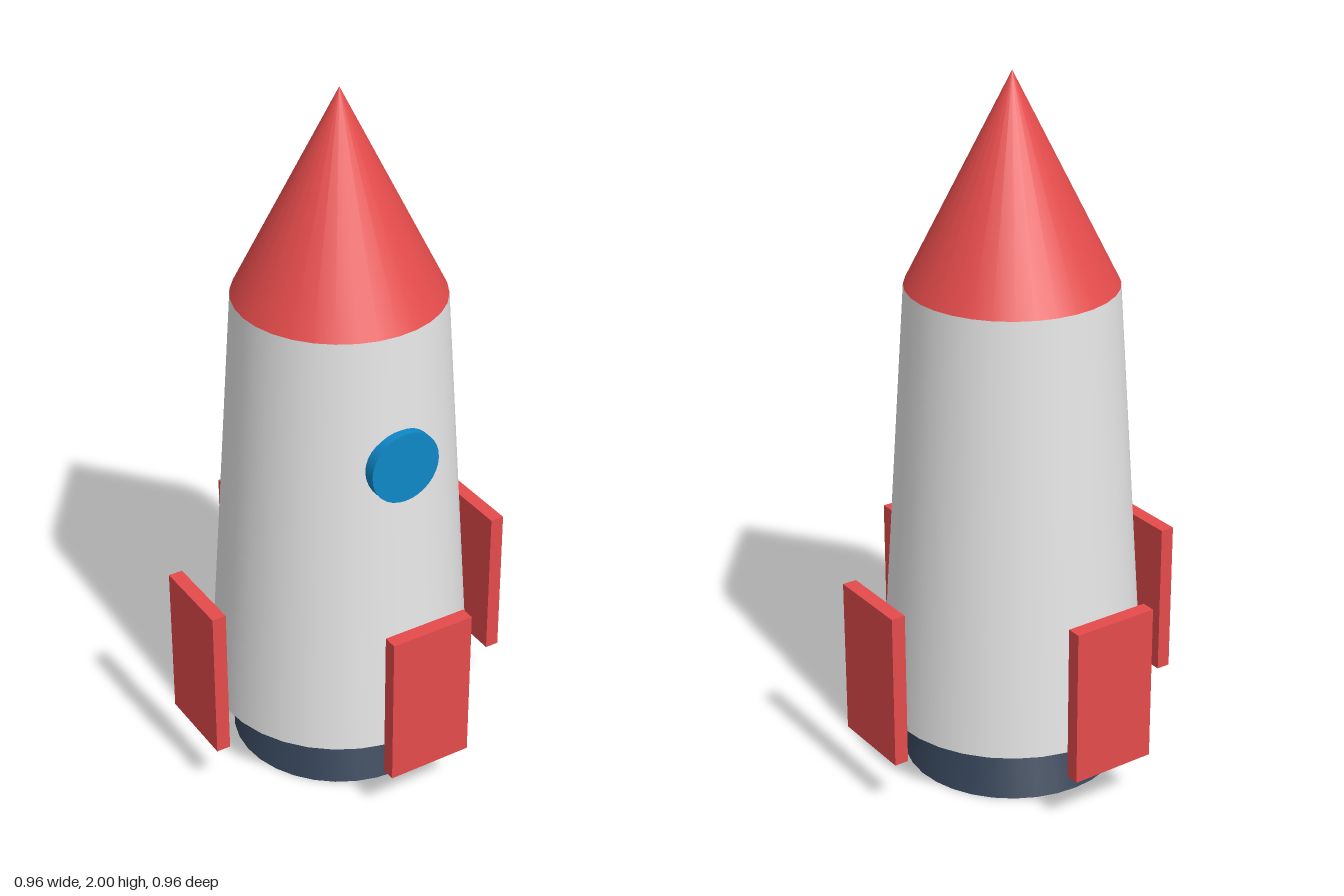
import * as THREE from 'three';

const material = (name, color) => {
  const m = new THREE.MeshStandardMaterial({ color });
  m.name = name;
  return m;
};

export function createModel() {
  const red = material('red', 0xe54b4b);
  const hullGrey = material('hull grey', 0xe6e6e6);
  const blue = material('window blue', 0x0f88c8);
  const slate = material('engine slate', 0x334155);

  const rocket = new THREE.Group();
  rocket.name = 'rocket';

  const add = (name, geometry, mat, x, y, z) => {
    const mesh = new THREE.Mesh(geometry, mat);
    mesh.name = name;
    mesh.position.set(x, y, z);
    rocket.add(mesh);
    return mesh;
  };

  // Stacked round sections, from a bottom height to a top height
  const section = (name, mat, rTop, rBottom, y0, y1) =>
    add(name, new THREE.CylinderGeometry(rTop, rBottom, y1 - y0, 32), mat, 0, (y0 + y1) / 2, 0);

  section('nozzle', slate, 0.25, 0.3125, 0, 0.17);
  section('hull', hullGrey, 0.2915, 0.375, 0.17, 1.42);
  section('noseCone', red, 0, 0.2915, 1.42, 2);

  // Round porthole set into the front of the hull
  const porthole = add('porthole', new THREE.CylinderGeometry(0.104, 0.104, 0.042, 32), blue, 0, 1.045, 0.312);
  porthole.rotation.x = Math.PI / 2;

  // Four flat fins standing clear of the hull
  const finGeometry = new THREE.BoxGeometry(0.25, 0.454, 0.041);
  ['finFront', 'finLeft', 'finBack', 'finRight'].forEach((name, i) => {
    const angle = (i * Math.PI) / 2;
    const fin = add(name, finGeometry, red, Math.sin(angle) * 0.459, 0.377, Math.cos(angle) * 0.459);
    fin.rotation.y = angle;
  });

  return rocket;
}
